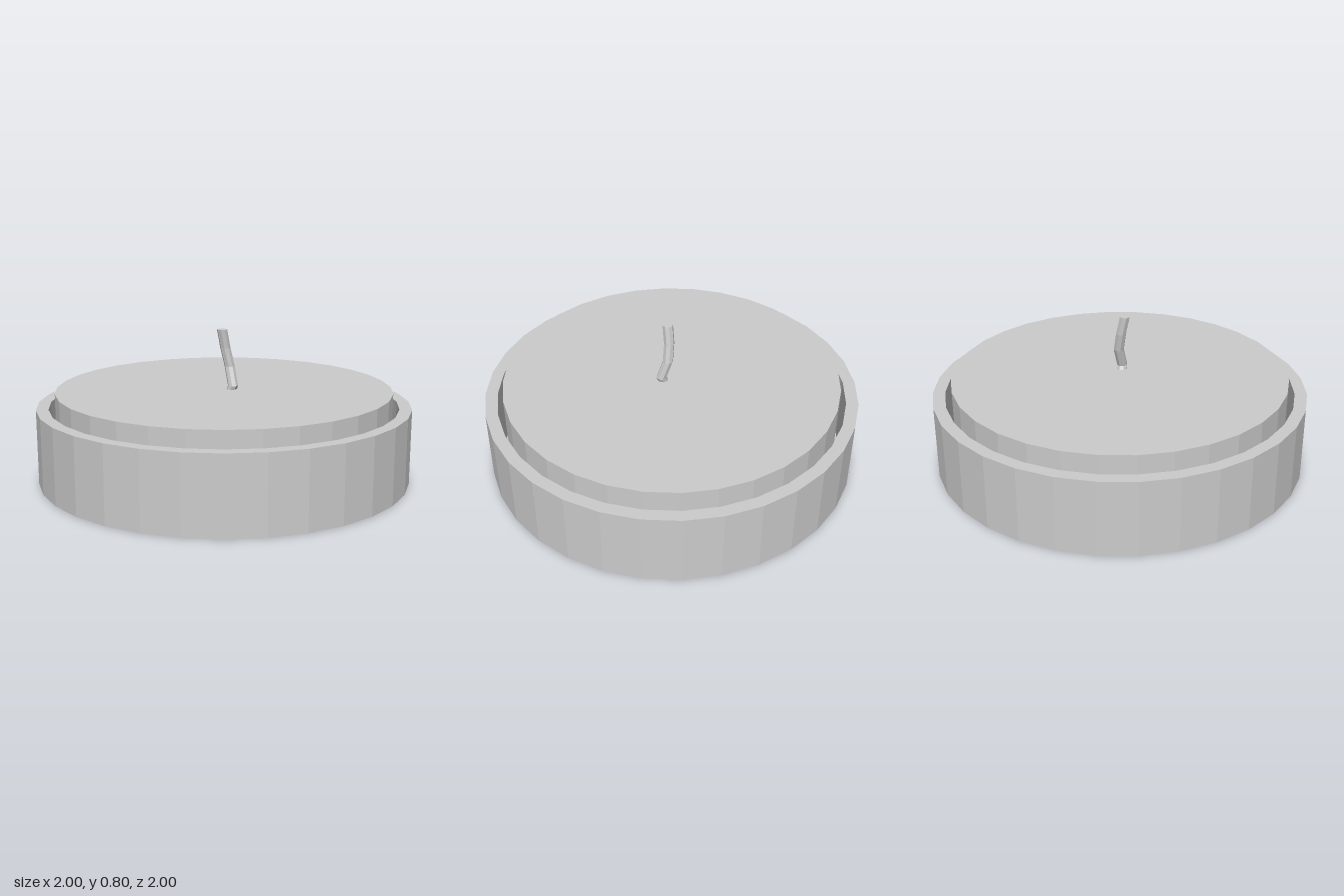
import * as THREE from 'three';

const SIDES = 32;

function part(name, geometry) {
  const material = new THREE.MeshStandardMaterial({ color: 0xcccccc, flatShading: true });
  const mesh = new THREE.Mesh(geometry, material);
  mesh.name = name;
  return mesh;
}

// Turned solid from [radius, height] pairs, bottom axis to top axis
function turned(points) {
  return new THREE.LatheGeometry(points.map(([r, y]) => new THREE.Vector2(r, y)), SIDES);
}

// Upright rod whose level rings are shifted to follow [x, y, z] centres
function bentRod(centres, radius, sides) {
  const rows = centres.length - 1;
  const geometry = new THREE.CylinderGeometry(radius, radius, 1, sides, rows);
  const pos = geometry.attributes.position;
  for (let i = 0; i < pos.count; i++) {
    const [x, y, z] = centres[Math.round((pos.getY(i) + 0.5) * rows)];
    pos.setXYZ(i, pos.getX(i) + x, y, pos.getZ(i) + z);
  }
  geometry.computeVertexNormals();
  return geometry;
}

export function createModel() {
  const group = new THREE.Group();
  group.name = 'candle';

  // Shallow open cup with a thin wall
  group.add(part('cup', turned([[0, 0], [1, 0], [1, 0.4], [0.935, 0.4], [0.935, 0.04], [0, 0.04]])));

  // Wax disc standing slightly above the rim
  group.add(part('wax', turned([[0, 0.04], [0.9, 0.04], [0.9, 0.48], [0, 0.48]])));

  // Bent wick
  const wickPath = [
    [0.013, 0.475, 0.05],
    [0.018, 0.5, 0.06],
    [0.02, 0.6, 0.025],
    [0, 0.7, 0.013],
    [-0.022, 0.8, 0.015],
  ];
  group.add(part('wick', bentRod(wickPath, 0.028, 8)));

  return group;
}
